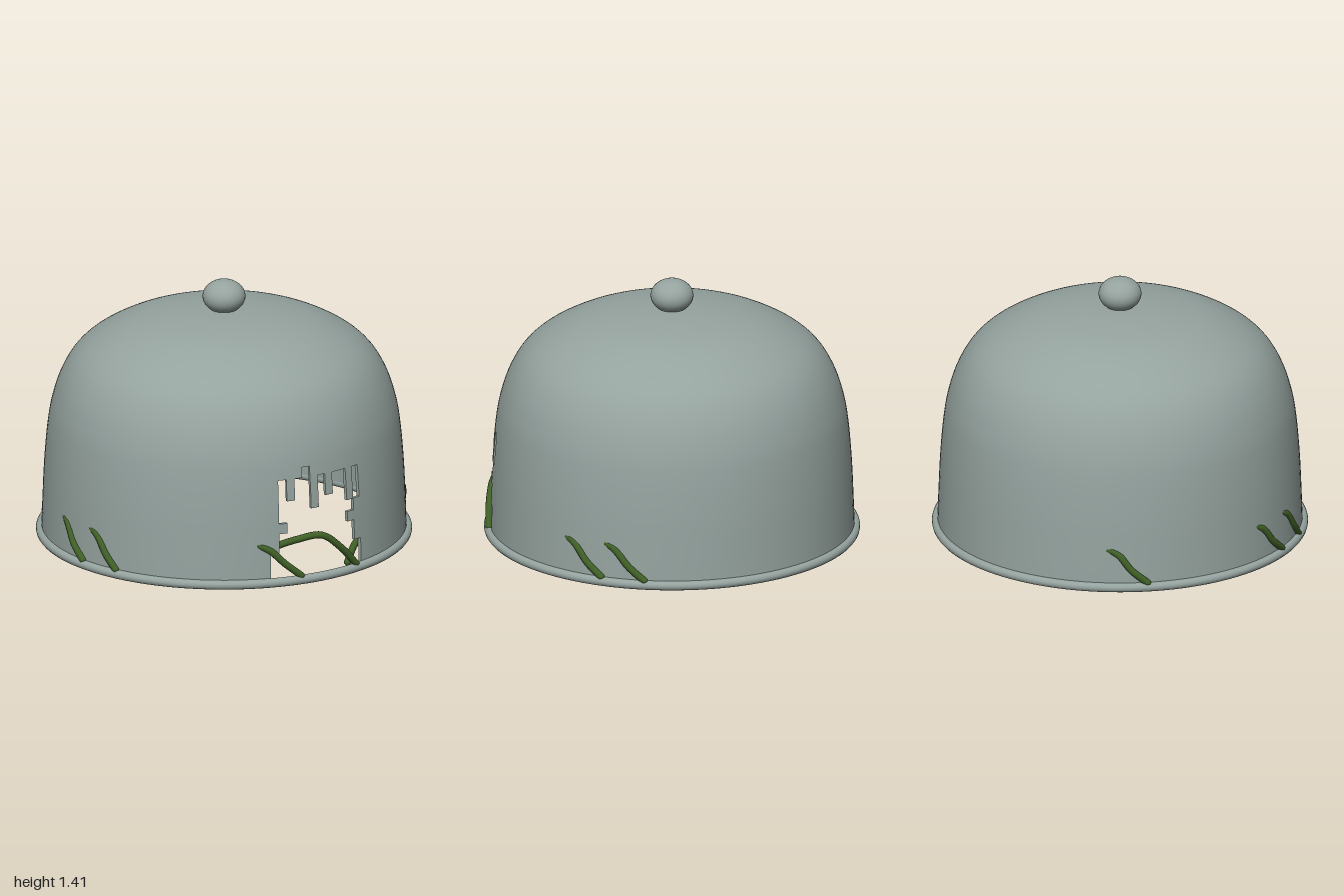
import * as THREE from 'three';

const glass = new THREE.MeshStandardMaterial({ color: 0x95a39f, side: THREE.DoubleSide });
glass.name = 'cloudy grey green';
const green = new THREE.MeshStandardMaterial({ color: 0x3f6026 });
green.name = 'vine green';

const STEP = (Math.PI * 2) / 128; // angular width of one wall column
const TOP = 1.25;

// Dome profile, radius and height, from the rim to the crown
const profile = new THREE.SplineCurve([
  [0.97, 0.03], [0.964, 0.2], [0.955, 0.4], [0.938, 0.6], [0.915, 0.74], [0.87, 0.88], [0.8, 1.0],
  [0.7, 1.09], [0.55, 1.17], [0.4, 1.215], [0.2, 1.243], [0, TOP],
].map(([r, y]) => new THREE.Vector2(r, y))).getPoints(66);

function radiusAt(y) {
  const i = Math.max(1, profile.findIndex((p) => p.y >= y));
  const a = profile[i - 1], b = profile[i];
  return a.x + (b.x - a.x) * THREE.MathUtils.clamp((y - a.y) / (b.y - a.y), 0, 1);
}

function onWall(deg, y, offset) {
  const a = THREE.MathUtils.degToRad(deg), r = radiusAt(y) + offset;
  return new THREE.Vector3(r * Math.sin(a), y, r * Math.cos(a));
}

// A solid piece of the dome wall: columns from first on, between two heights
function wallPiece(group, first, count, y0, y1) {
  const outer = [
    new THREE.Vector2(radiusAt(y0), y0),
    ...profile.filter((p) => p.y > y0 + 0.004 && p.y < y1 - 0.0005),
    new THREE.Vector2(y1 === TOP ? 0 : radiusAt(y1), y1),
  ];
  const inner = outer.map((p) => new THREE.Vector2(p.x * 0.981, y1 === TOP ? p.y - 0.018 * p.y ** 3 / TOP ** 3 : p.y));
  const last = outer.length - 1;
  const strips = [outer, [...inner].reverse(), [inner[0], outer[0]]];
  if (y1 < TOP) strips.push([outer[last], inner[last]]);
  for (const strip of strips) {
    const mesh = new THREE.Mesh(new THREE.LatheGeometry(strip, count, first * STEP, count * STEP), glass);
    mesh.name = 'wallFace';
    group.add(mesh);
  }
  // cut faces on the two sides
  for (const column of [first, first + count]) {
    const cut = new THREE.Mesh(new THREE.ShapeGeometry(new THREE.Shape([...outer, ...[...inner].reverse()])), glass);
    cut.rotation.y = column * STEP - Math.PI / 2;
    cut.name = 'wallCut';
    group.add(cut);
  }
}

function buildDome() {
  const dome = new THREE.Group();
  dome.name = 'dome';
  wallPiece(dome, 6, 116, 0.03, TOP);
  // solid height ranges of the twelve columns around the broken opening
  const solid = [
    [[0.185, TOP]],
    [[0.29, 0.345], [0.582, TOP]],
    [[0.465, TOP]],
    [[0.582, TOP]],
    [[0.638, TOP]],
    [[0.408, TOP]],
    [[0.582, TOP]],
    [[0.465, TOP]],
    [[0.582, TOP]],
    [[0.582, TOP]],
    [[0.29, 0.345], [0.408, TOP]],
    [[0.18, 0.408], [0.582, TOP]],
  ];
  solid.forEach((ranges, i) => ranges.forEach(([a, b]) => wallPiece(dome, i - 6, 1, a, b)));
  return dome;
}

// Vines start outside the wall, slip through it and arch along the inside: [degrees, height]
const vines = [
  [[14, 0.05], [8, 0.16], [1, 0.248], [-7, 0.235], [-15, 0.21], [-27, 0.15], [-38, 0.165], [-49, 0.2], [-58, 0.15], [-65, 0.04]],
  [[-7, 0.05], [-12, 0.12], [-18.5, 0.215], [-28, 0.24], [-36, 0.17], [-44, 0.04]],
  [[-68, 0.05], [-72, 0.12], [-77, 0.215], [-88, 0.25], [-98, 0.22], [-112, 0.18], [-122, 0.04]],
  [[-82, 0.05], [-87, 0.12], [-92, 0.215], [-102, 0.25], [-114, 0.17], [-124, 0.04]],
  [[-135, 0.05], [-140, 0.12], [-145, 0.215], [-156, 0.24], [-170, 0.18], [-182, 0.15], [-195, 0.04]],
  [[76, 0.05], [71, 0.12], [65.5, 0.215], [55, 0.25], [42, 0.18], [28, 0.2], [17, 0.14], [13, 0.05]],
  [[90, 0.05], [85, 0.12], [79.5, 0.215], [70, 0.25], [58, 0.17], [48, 0.04]],
];

function buildVines() {
  const group = new THREE.Group();
  group.name = 'vines';
  for (const path of vines) {
    const points = path.map(([deg, y], i) => onWall(deg, y, [0.006, 0.004, -0.008][i] ?? -0.04));
    const stem = new THREE.Mesh(
      new THREE.TubeGeometry(new THREE.CatmullRomCurve3(points), 64, 0.019, 10), green);
    stem.name = 'vineStem';
    group.add(stem);
    for (const p of [points[0], points[points.length - 1]]) {
      const tip = new THREE.Mesh(new THREE.SphereGeometry(0.019, 10, 8), green);
      tip.position.copy(p);
      tip.name = 'vineTip';
      group.add(tip);
    }
  }
  return group;
}

// Condensation on the inside: running streaks and round drops
function buildDrops() {
  const group = new THREE.Group();
  group.name = 'condensation';
  let seed = 7;
  const rand = () => (seed = (seed * 16807) % 2147483647) / 2147483647;
  const add = (deg, y, length, name) => {
    const drop = new THREE.Mesh(new THREE.CapsuleGeometry(0.007, length, 3, 8), glass);
    drop.position.copy(onWall(deg, y, -0.021));
    drop.name = name;
    group.add(drop);
  };
  for (const [deg, y] of [[-26, 0.5], [-28, 0.36], [-34, 0.38], [-43, 0.5], [-43, 0.27], [-48, 0.5], [173, 0.3]]) {
    add(deg, y, 0.11, 'streak');
  }
  for (let i = 0; i < 36; i++) add(-50 - rand() * 270, 0.22 + rand() * 0.36, 0.003, 'drop');
  return group;
}

export function createModel() {
  const model = new THREE.Group();
  model.name = 'brokenDomeCover';

  const rim = new THREE.Mesh(new THREE.TorusGeometry(0.974, 0.025, 14, 128), glass);
  rim.rotation.x = Math.PI / 2;
  rim.position.y = 0.026;
  rim.name = 'rim';

  const knob = new THREE.Mesh(new THREE.SphereGeometry(0.114, 40, 28), glass);
  knob.scale.y = 0.79;
  knob.position.y = 1.32;
  knob.name = 'knob';

  model.add(buildDome(), rim, knob, buildVines(), buildDrops());
  return model;
}
